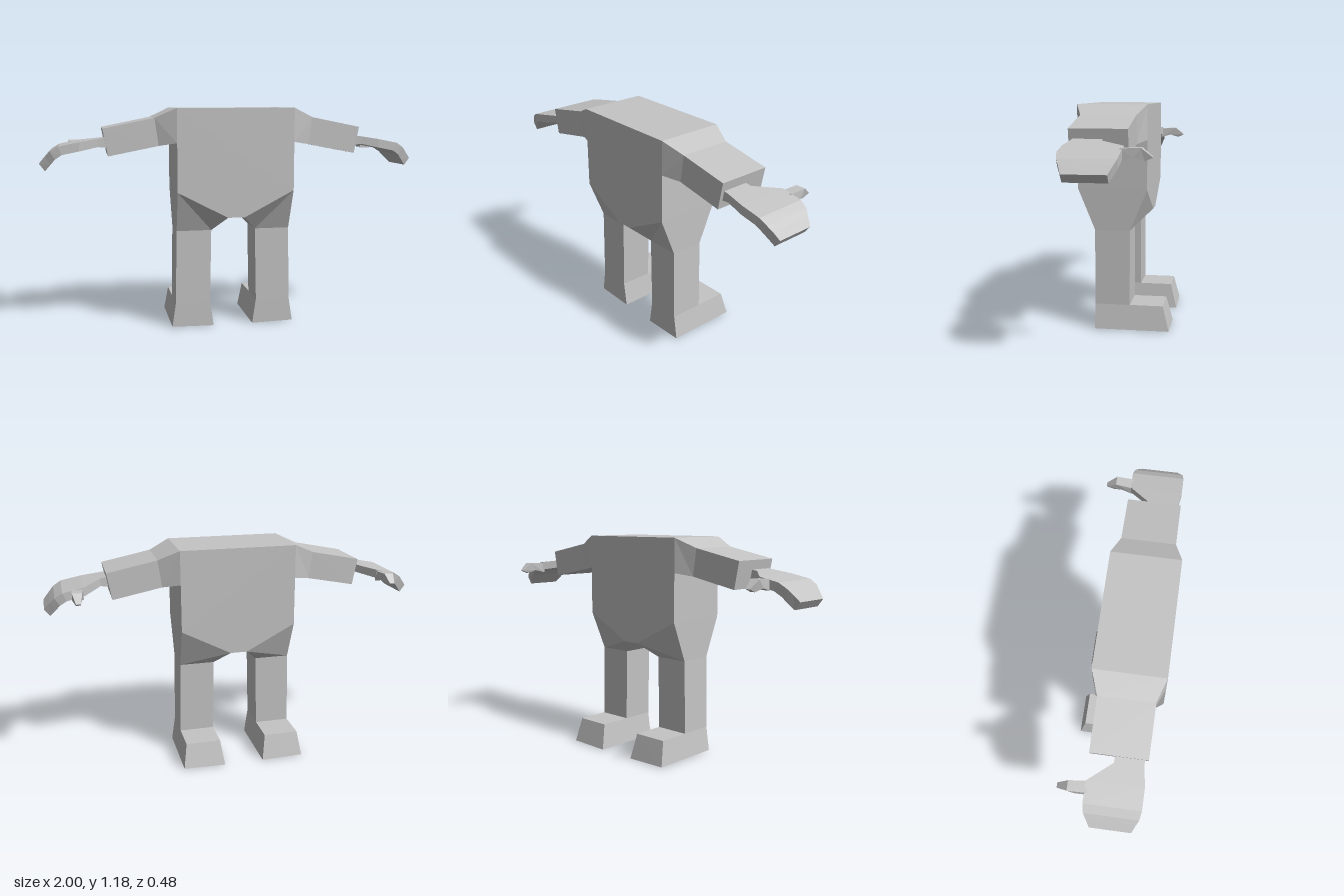
import * as THREE from 'three';

// Closed solid through a row of rings with equal point counts; faces always turn outward.
function loft(rings) {
  const tris = [];
  const n = rings[0].length;
  const quad = (a, b, c, d) => tris.push([a, b, c], [a, c, d]);
  for (let i = 0; i + 1 < rings.length; i++) {
    for (let j = 0; j < n; j++) {
      const k = (j + 1) % n;
      quad(rings[i][j], rings[i][k], rings[i + 1][k], rings[i + 1][j]);
    }
  }
  const first = rings[0], last = rings[rings.length - 1];
  for (let j = 1; j + 1 < n; j++) {
    tris.push([first[0], first[j + 1], first[j]], [last[0], last[j], last[j + 1]]);
  }
  const v = (p) => new THREE.Vector3(...p);
  const origin = v(first[0]);
  let volume = 0;
  for (const [a, b, c] of tris) {
    volume += v(a).sub(origin).dot(v(b).sub(origin).cross(v(c).sub(origin)));
  }
  if (volume < 0) tris.forEach((t) => t.reverse());
  const geometry = new THREE.BufferGeometry();
  geometry.setAttribute('position', new THREE.Float32BufferAttribute(tris.flat(2), 3));
  geometry.computeVertexNormals();
  return geometry;
}

// Horizontal ring for legs and feet
const level = (yIn, yOut, xIn, xOut, zBack, zFront) => [
  [xOut, yOut, zFront], [xIn, yIn, zFront], [xIn, yIn, zBack], [xOut, yOut, zBack],
];

// Upright ring for arms and hands: top edge and bottom edge may lean
const section = ([xTop, yTop, xBot, yBot, zBack, zFront]) => [
  [xTop, yTop, zFront], [xTop, yTop, zBack], [xBot, yBot, zBack], [xBot, yBot, zFront],
];

// Ring for the thumb, which runs backward
const thumbRing = ([x0, x1, yTop, zTop, yBot, zBot]) => [
  [x0, yTop, zTop], [x1, yTop, zTop], [x1, yBot, zBot], [x0, yBot, zBot],
];

export function createModel() {
  const model = new THREE.Group();
  const grey = new THREE.MeshStandardMaterial({ color: 0xc4c4c4 });
  grey.name = 'plain grey';

  const add = (name, geometry) => {
    const mesh = new THREE.Mesh(geometry, grey);
    mesh.name = name;
    model.add(mesh);
  };

  // Torso: slab with a tapered lower edge
  const outline = [
    [-0.31, 1.178], [-0.31, 0.745], [-0.045, 0.607], [0.045, 0.607], [0.31, 0.745], [0.31, 1.178],
  ];
  add('torso', loft([-0.12, 0.24].map((z) => outline.map(([x, y]) => [x, y, z]))));

  // Limb rings, written for the left side
  const limbs = {
    Hip: [
      [[0.31, 0.745, 0.24], [0.045, 0.607, 0.24], [0.045, 0.607, -0.12], [0.31, 0.745, -0.12]],
      level(0.53, 0.53, 0.12, 0.307, -0.03, 0.153),
    ],
    Leg: [
      level(0.53, 0.53, 0.12, 0.307, -0.03, 0.153),
      level(0.135, 0.135, 0.128, 0.315, -0.03, 0.153),
    ],
    Foot: [
      level(0.135, 0.135, 0.128, 0.315, -0.205, 0.153),
      level(0, 0.005, 0.108, 0.335, -0.238, 0.153),
    ],
    Arm: [
      [0.31, 1.178, 0.31, 1.0, -0.12, 0.24],
      [0.42, 1.128, 0.40, 0.985, -0.08, 0.2],
      [0.683, 1.075, 0.657, 0.935, -0.08, 0.2],
    ].map(section),
    Hand: [
      [0.66, 1.03, 0.66, 0.977, 0.04, 0.18],
      [0.705, 1.023, 0.705, 0.982, 0.038, 0.183],
      [0.80, 1.008, 0.80, 0.962, -0.08, 0.197],
      [0.905, 0.987, 0.885, 0.945, -0.082, 0.197],
      [0.945, 0.962, 0.92, 0.922, -0.075, 0.19],
      [0.97, 0.935, 0.945, 0.893, -0.06, 0.175],
      [1.0, 0.9, 0.972, 0.862, -0.042, 0.16],
    ].map(section),
    Thumb: [
      [0.80, 0.857, 1.0, -0.07, 0.945, -0.07],
      [0.81, 0.86, 1.004, -0.163, 0.96, -0.13],
      [0.82, 0.845, 0.961, -0.216, 0.945, -0.178],
    ].map(thumbRing),
  };

  // Build each limb part on both sides
  for (const [side, s] of [['left', 1], ['right', -1]]) {
    for (const [part, rings] of Object.entries(limbs)) {
      add(side + part, loft(rings.map((ring) => ring.map(([x, y, z]) => [s * x, y, z]))));
    }
  }
  return model;
}
